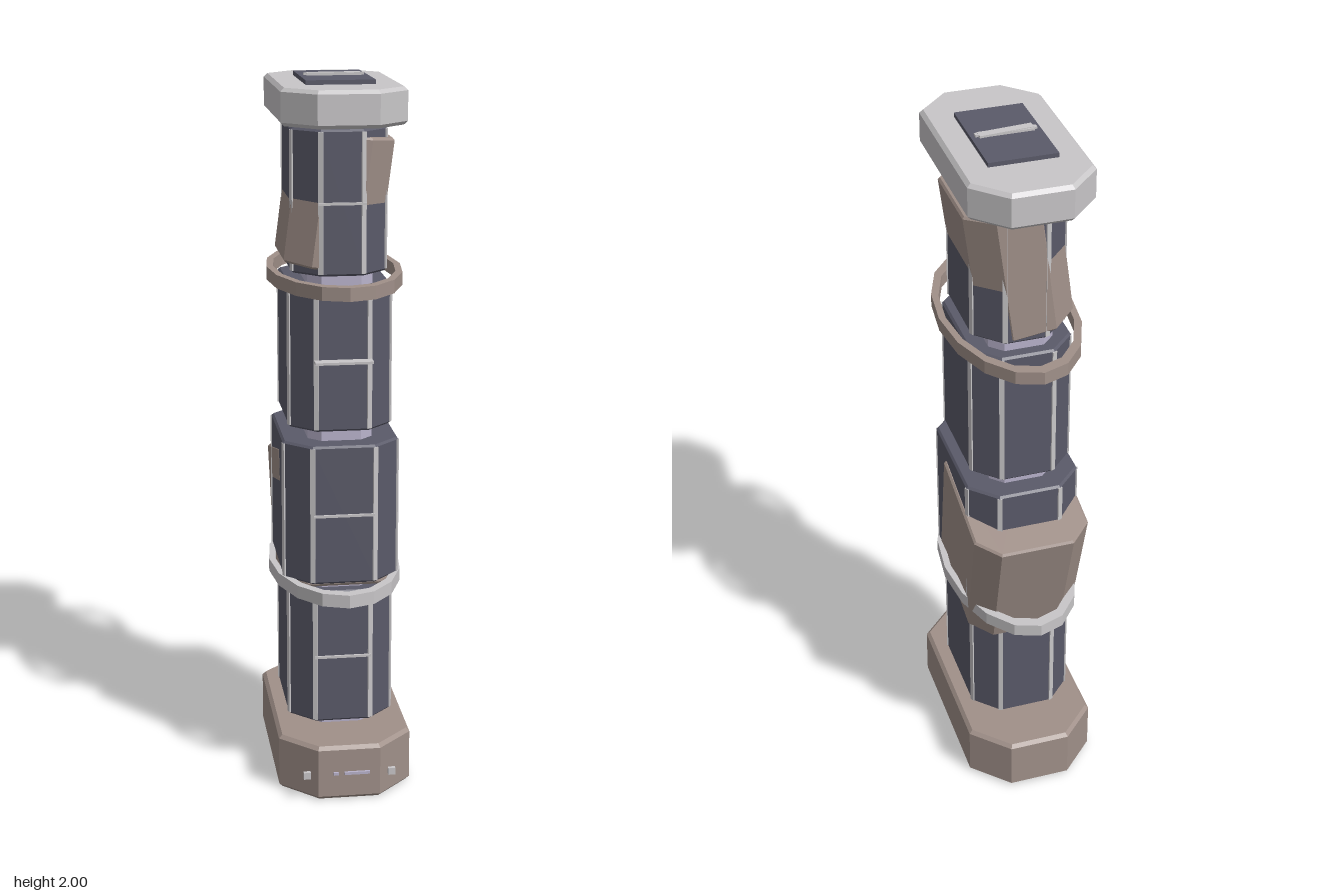
import * as THREE from 'three';

const mat = (name, color) => {
  const m = new THREE.MeshStandardMaterial({ color });
  m.name = name;
  return m;
};

// Corners of a long octagon with half sizes w, d and corner cut c
const octagon = (w, d, c) => [
  [w, -d + c], [w, d - c], [w - c, d], [-w + c, d],
  [-w, d - c], [-w, -d + c], [-w + c, -d], [w - c, -d],
].map(([x, y]) => new THREE.Vector2(x, y));

// Octagonal prism centred on its height, with bevelled rims and optional taper to the bottom
function prism(w, d, c, h, bevel = 0.006, bottomScale = 1) {
  const geo = new THREE.ExtrudeGeometry(new THREE.Shape(octagon(w, d, c)), {
    depth: h - 2 * bevel, bevelEnabled: bevel > 0, bevelThickness: bevel,
    bevelSize: bevel, bevelOffset: -bevel, bevelSegments: 1,
  });
  geo.translate(0, 0, bevel - h / 2);
  geo.rotateX(-Math.PI / 2);
  const p = geo.attributes.position;
  for (let i = 0; i < p.count; i++) {
    const s = THREE.MathUtils.lerp(bottomScale, 1, p.getY(i) / h + 0.5);
    p.setX(i, p.getX(i) * s);
    p.setZ(i, p.getZ(i) * s);
  }
  geo.computeVertexNormals();
  return geo;
}

// Sixteen-sided oval band
function ovalRing(w, d, h, inner) {
  const oval = (k) => Array.from({ length: 16 }, (_, i) => {
    const a = (i / 16) * Math.PI * 2;
    return new THREE.Vector2(Math.cos(a) * w * k, Math.sin(a) * d * k);
  });
  const shape = new THREE.Shape(oval(1));
  shape.holes.push(new THREE.Path(oval(inner).reverse()));
  const geo = new THREE.ExtrudeGeometry(shape, { depth: h, bevelEnabled: false });
  geo.translate(0, 0, -h / 2);
  return geo.rotateX(-Math.PI / 2);
}

export function createModel() {
  const dark = mat('darkSlate', 0x5a5a69);
  const light = mat('lightGrey', 0xc8c6c8);
  const brown = mat('warmTaupe', 0xa09089);
  const lavender = mat('paleLavender', 0xb9b3cc);

  const model = new THREE.Group();
  model.name = 'tower';
  const body = new THREE.Group();
  body.name = 'towerBody';
  body.position.z = -0.006;
  model.add(body);

  const add = (name, geo, material, x, y, z, parent = body) => {
    const m = new THREE.Mesh(geo, material);
    m.name = name;
    m.position.set(x, y, z);
    parent.add(m);
    return m;
  };
  const box = (name, w, h, d, material, x, y, z, parent) =>
    add(name, new THREE.BoxGeometry(w, h, d), material, x, y, z, parent);

  // Base, inner core and top cap
  add('base', prism(0.188, 0.337, 0.1, 0.16, 0.01), brown, 0, 0.08, 0);
  add('core', prism(0.09, 0.165, 0.035, 1.76, 0), lavender, 0, 1.02, 0);
  add('capCollar', prism(0.11, 0.15, 0.04, 0.012, 0), light, 0, 1.873, 0);
  add('cap', prism(0.169, 0.307, 0.087, 0.1, 0.01), light, 0, 1.93, 0);

  // Stacked blocks with light strips on their upright edges
  const blocks = [
    { y0: 0.18, y1: 0.575, w: 0.148, d: 0.202, c: 0.069, bar: 0.16, out: 0.007 },
    { y0: 0.605, y1: 1.005, w: 0.162, d: 0.226, c: 0.074, bar: 0.17, out: 0.007 },
    { y0: 1.04, y1: 1.44, w: 0.143, d: 0.2, c: 0.069, bar: 0.16, out: 0.036 },
    { y0: 1.47, y1: 1.865, w: 0.131, d: 0.183, c: 0.072, bar: 0.13, out: 0.007 },
  ];
  for (const { y0, y1, w, d, c, bar, out } of blocks) {
    const g = new THREE.Group();
    g.name = 'block';
    g.position.y = (y0 + y1) / 2;
    body.add(g);
    add('blockBody', prism(w, d, c, y1 - y0), dark, 0, 0, 0, g);
    octagon(w, d, c).forEach((p) => {
      // The strip faces halfway between the two walls it joins
      const onSide = Math.abs(p.x) > w - 0.001;
      const a = onSide ? Math.PI * 0.375 : Math.PI / 8;
      const turn = Math.atan2(Math.sin(a) * Math.sign(p.x), Math.cos(a) * Math.sign(p.y));
      const strip = box('edgeStrip', 0.014, y1 - y0 - 0.012, 0.008, light,
        p.x - Math.sin(turn) * 0.003, 0, p.y - Math.cos(turn) * 0.003, g);
      strip.rotation.y = turn;
    });
    box('frontBar', bar, 0.007, out, light, 0, 0, d + out / 2 - 0.001, g);
  }

  // Oval bands at the joints
  add('lowerRing', ovalRing(0.188, 0.337, 0.037, 0.9), light, 0, 0.591, 0);
  add('upperRing', ovalRing(0.188, 0.337, 0.037, 0.9), brown, 0, 1.45, 0);

  // Tilted sleeves cutting through the second and fourth blocks
  const lower = add('lowerSleeve', prism(0.167, 0.215, 0.062, 0.393, 0.006, 0.95),
    brown, 0.003, 0.729, -0.055);
  lower.rotation.x = -0.24;
  const upper = add('upperSleeve', prism(0.13, 0.184, 0.07, 0.368), brown, 0, 1.666, -0.002);
  upper.rotation.z = -0.13;

  // Plate on the cap with crossed strips and end studs
  box('topPlate', 0.188, 0.012, 0.3, dark, 0, 1.986, 0);
  const straight = box('topStrip', 0.15, 0.006, 0.024, light, 0, 1.995, 0);
  const crossed = straight.clone();
  crossed.name = 'crossedTopStrip';
  crossed.position.y = 1.997;
  crossed.rotation.y = 0.08;
  body.add(crossed);

  // Studs on the plate and on the front of the base
  for (const s of [-1, 1]) {
    box('topStud', 0.014, 0.006, 0.014, light, s * 0.076, 1.996, 0);
    box('baseStud', 0.02, 0.02, 0.012, light, s * 0.12, 0.08, 0.34);
  }
  box('baseBarLong', 0.072, 0.008, 0.008, lavender, 0.022, 0.08, 0.34);
  box('baseBarShort', 0.014, 0.008, 0.008, lavender, -0.038, 0.08, 0.34);

  return model;
}
